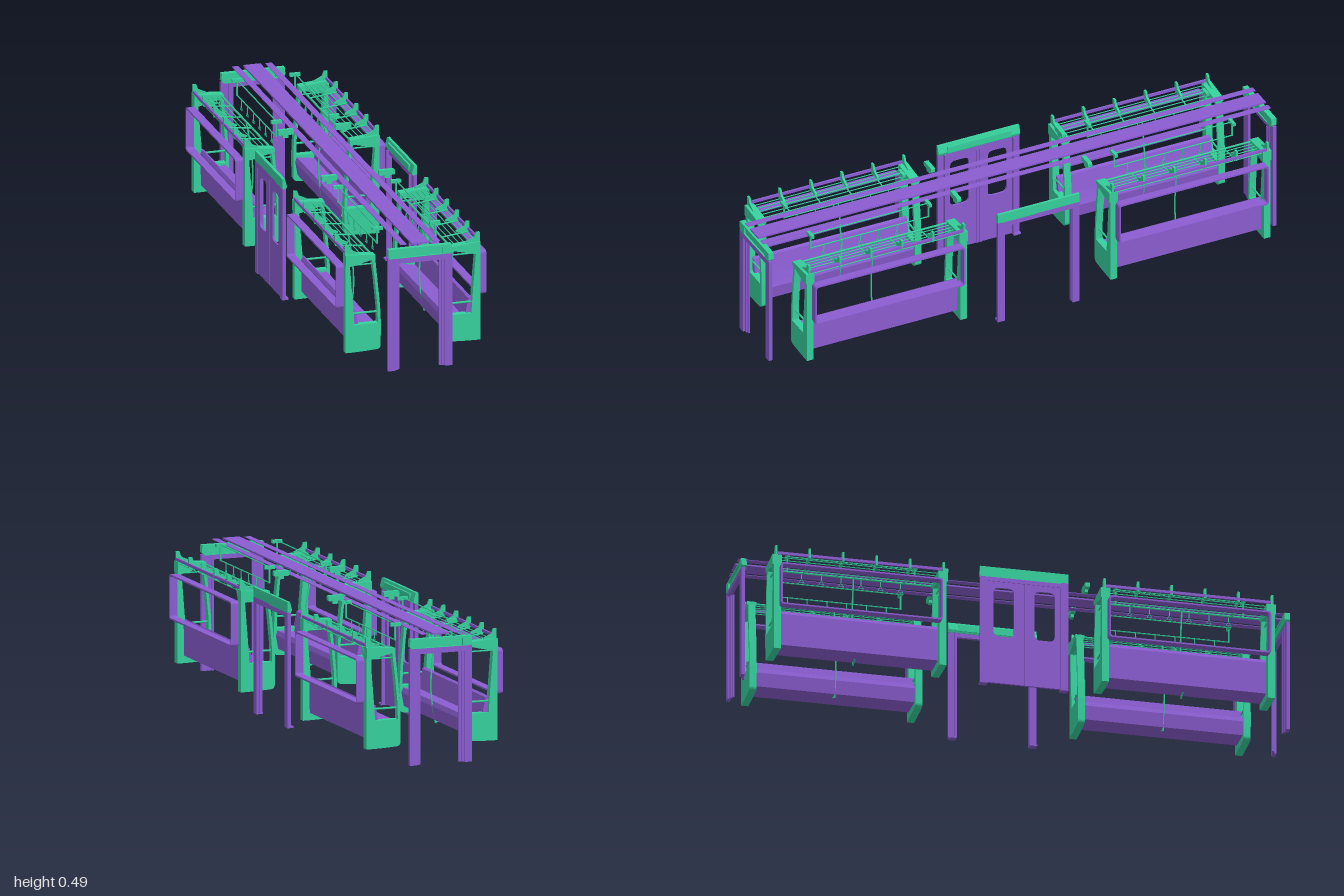
import * as THREE from 'three';

const purple = new THREE.MeshStandardMaterial({ color: 0x8a5cd0, side: THREE.DoubleSide });
const green = new THREE.MeshStandardMaterial({ color: 0x36cf9c, side: THREE.DoubleSide });

function add(parent, name, geo, mat, x = 0, y = 0, z = 0) {
  const m = new THREE.Mesh(geo, mat);
  m.name = name;
  m.position.set(x, y, z);
  parent.add(m);
  return m;
}

// Box given by its min and max corners
function box(parent, name, mat, x0, x1, y0, y1, z0, z1) {
  return add(parent, name, new THREE.BoxGeometry(x1 - x0, y1 - y0, z1 - z0), mat,
    (x0 + x1) / 2, (y0 + y1) / 2, (z0 + z1) / 2);
}

// Round bar through a few points
function bar(parent, name, pts, r, mat = green) {
  const v = pts.map(p => new THREE.Vector3(...p));
  const curve = v.length === 2 ? new THREE.LineCurve3(v[0], v[1]) : new THREE.CatmullRomCurve3(v);
  return add(parent, name, new THREE.TubeGeometry(curve, v.length === 2 ? 1 : 14, r, 6), mat);
}

const poly = pts => new THREE.Shape(pts.map(p => new THREE.Vector2(...p)));

// Outline in x,y extruded from z0 to z1
function slab(parent, name, shape, z0, z1, mat) {
  const geo = new THREE.ExtrudeGeometry(shape, { depth: z1 - z0, bevelEnabled: false, curveSegments: 6 });
  return add(parent, name, geo, mat, 0, 0, z0);
}

function roundRect(x0, x1, y0, y1, r, T = THREE.Shape) {
  const s = new T();
  s.moveTo(x0 + r, y0);
  s.lineTo(x1 - r, y0); s.quadraticCurveTo(x1, y0, x1, y0 + r);
  s.lineTo(x1, y1 - r); s.quadraticCurveTo(x1, y1, x1 - r, y1);
  s.lineTo(x0 + r, y1); s.quadraticCurveTo(x0, y1, x0, y1 - r);
  s.lineTo(x0, y0 + r); s.quadraticCurveTo(x0, y0, x0 + r, y0);
  return s;
}

// Outline in z,y extruded along x
function sideSlab(parent, name, shape, x0, x1, z, mat) {
  const geo = new THREE.ExtrudeGeometry(shape, { depth: x1 - x0, bevelEnabled: false, curveSegments: 6 });
  geo.rotateY(Math.PI / 2);
  return add(parent, name, geo, mat, x0, 0, z);
}

// Screen at each end of a bench: solid foot, open top
function endPanel(parent, z) {
  const s = new THREE.Shape();
  s.moveTo(0.135, 0.057);
  s.quadraticCurveTo(0.19, 0.053, 0.25, 0.053);
  s.lineTo(0.25, 0.418);
  s.quadraticCurveTo(0.245, 0.423, 0.235, 0.421);
  s.lineTo(0.142, 0.412);
  s.lineTo(0.14, 0.398);
  s.quadraticCurveTo(0.13, 0.30, 0.122, 0.22);
  s.lineTo(0.119, 0.155);
  s.lineTo(0.12, 0.07);
  s.quadraticCurveTo(0.122, 0.058, 0.135, 0.057);
  const hole = new THREE.Path([[0.13, 0.155], [0.217, 0.155], [0.222, 0.23], [0.234, 0.378],
    [0.152, 0.396], [0.142, 0.32], [0.132, 0.22]].map(p => new THREE.Vector2(...p)));
  s.holes.push(hole);
  slab(parent, 'benchEndPanel', s, z - 0.013, z + 0.013, green);
  slab(parent, 'benchEndCap', poly([[0.14, 0.398], [0.235, 0.376], [0.25, 0.38], [0.25, 0.42],
    [0.235, 0.421], [0.14, 0.412]]), z - 0.017, z + 0.017, green);
  bar(parent, 'panelRail', [[0.13, 0.195, z], [0.222, 0.195, z]], 0.004);
  bar(parent, 'panelRail', [[0.148, 0.376, z], [0.236, 0.376, z]], 0.003);
}

// Bench, window, rack and hand rail; z runs from -0.315 to 0.315
function bay() {
  const g = new THREE.Group();
  g.name = 'seatingBay';
  slab(g, 'bench', poly([[0.135, 0.08], [0.126, 0.13], [0.132, 0.147], [0.196, 0.138], [0.21, 0.208],
    [0.22, 0.213], [0.226, 0.2], [0.224, 0.08]]), -0.302, 0.302, purple);
  for (const z of [-0.302, 0.302]) endPanel(g, z);

  // Thin deep window surround
  const frame = roundRect(-0.295, 0.295, 0.215, 0.378, 0.012);
  frame.holes.push(roundRect(-0.289, 0.289, 0.221, 0.372, 0.009, THREE.Path));
  sideSlab(g, 'windowSurround', frame, 0.248, 0.279, 0, purple);

  // Luggage rack rods, cross bars and hooks
  for (let i = 0; i < 6; i++) {
    const x = 0.146 + i * 0.019, y = 0.405 + i * 0.0015;
    bar(g, 'rackRod', [[x, y, -0.3], [x, y, 0.3]], i ? 0.002 : 0.004);
  }
  const hook = poly([[0.25, 0.455], [0.237, 0.455], [0.23, 0.436], [0.2, 0.422], [0.2, 0.417], [0.25, 0.417]]);
  for (let i = 0; i < 6; i++) {
    const z = -0.305 + i * 0.122;
    bar(g, 'rackCrossBar', [[0.146, 0.403, z], [0.247, 0.415, z]], 0.003);
    slab(g, 'rackHook', hook, z - 0.004, z + 0.004, green);
  }
  box(g, 'rackWallRail', purple, 0.243, 0.25, 0.422, 0.432, -0.3, 0.3);

  // Bowed grab pole in the middle of the bench
  bar(g, 'grabPole', [[0.14, 0.068, 0], [0.124, 0.16, 0], [0.123, 0.24, 0], [0.133, 0.33, 0], [0.146, 0.403, 0]], 0.003);
  bar(g, 'poleFoot', [[0.14, 0.07, 0], [0.17, 0.082, 0]], 0.003);

  // Hanging rail with straps
  const x = 0.108;
  for (const y of [0.425, 0.482]) bar(g, 'strapRail', [[x, y, -0.232], [x, y, 0.232]], 0.0025);
  for (const z of [-0.232, 0.232]) {
    bar(g, 'railPost', [[x, 0.423, z], [x, 0.478, z]], 0.0035);
    box(g, 'railBracket', green, 0.088, 0.126, 0.474, 0.486, z - 0.006, z + 0.006);
  }
  for (let i = 0; i < 6; i++) {
    const z = -0.18 + i * 0.072;
    bar(g, 'strap', [[x, 0.426, z], [x, 0.402, z]], 0.002);
    const ring = add(g, 'strapHandle', new THREE.TorusGeometry(0.011, 0.0018, 5, 3), green, x, 0.391, z);
    ring.rotation.set(0, Math.PI / 2, 0);
    ring.geometry.rotateZ(Math.PI / 2);
  }
  return g;
}

// Doorway in the side wall
function sideDoorway(withDoors) {
  const g = new THREE.Group();
  g.name = 'sideDoorway';
  for (const s of [-1, 1]) {
    const z = s * 0.147;
    box(g, 'doorJamb', purple, 0.238, 0.25, 0, 0.42, z - 0.014, z + 0.014);
    box(g, 'jambLip', purple, 0.228, 0.24, 0.004, 0.415, s * 0.135 - 0.003, s * 0.135 + 0.003);
    box(g, 'jambFoot', purple, 0.226, 0.25, 0, 0.006, z - 0.014, z + 0.014);
  }
  box(g, 'doorLintel', purple, 0.238, 0.25, 0.4, 0.42, -0.135, 0.135);
  slab(g, 'doorHeader', poly([[0.25, 0.416], [0.236, 0.416], [0.232, 0.426], [0.24, 0.455], [0.25, 0.455]]), -0.161, 0.161, green);
  box(g, 'headerPanel', green, 0.231, 0.238, 0.422, 0.446, -0.125, 0.125);
  if (withDoors) for (const s of [-1, 1]) {
    const leaf = roundRect(-0.066, 0.066, 0.004, 0.405, 0.002);
    const o = -s * 0.008;
    const hole = roundRect(o - 0.037, o + 0.037, 0.187, 0.377, 0.02, THREE.Path);
    leaf.holes.push(hole);
    sideSlab(g, 'doorLeaf', leaf, 0.24, 0.248, s * 0.0665, purple);
    box(g, 'doorEdge', purple, 0.237, 0.24, 0.004, 0.4, s * 0.006 - 0.004, s * 0.006 + 0.004);
  }
  return g;
}

// Portal at the end of the aisle, facing +z
function endPortal() {
  const g = new THREE.Group();
  g.name = 'endPortal';
  for (const s of [-1, 1]) {
    const strip = (name, a, b, y1, z0, z1) =>
      box(g, name, purple, Math.min(s * a, s * b), Math.max(s * a, s * b), 0, y1, z0, z1);
    strip('portalJamb', 0.092, 0.119, 0.42, 0.986, 1);
    strip('portalInnerJamb', 0.081, 0.092, 0.4, 0.983, 0.992);
    strip('portalStop', 0.073, 0.081, 0.4, 0.98, 0.986);
  }
  box(g, 'portalLintel', purple, -0.092, 0.092, 0.4, 0.42, 0.984, 1);
  const head = poly([[-0.119, 0.428], [-0.108, 0.417], [0.108, 0.417], [0.119, 0.428],
    [0.117, 0.455], [-0.117, 0.455]]);
  head.holes.push(roundRect(-0.083, 0.083, 0.421, 0.447, 0.002, THREE.Path));
  slab(g, 'portalHeader', head, 0.98, 1, green);
  box(g, 'portalHeaderPanel', green, -0.083, 0.083, 0.421, 0.447, 0.983, 0.994);
  return g;
}

export function createModel() {
  const model = new THREE.Group();
  model.name = 'carriageInterior';

  // Ceiling strips
  box(model, 'ceilingStrip', purple, -0.032, 0.032, 0.467, 0.473, -1, 1);
  for (const s of [-1, 1]) box(model, 'ceilingSideStrip', purple, s * 0.062 - 0.012, s * 0.062 + 0.012, 0.4695, 0.4715, -1, 1);

  // Each half is the other turned half way round
  for (const turn of [0, Math.PI]) {
    const half = new THREE.Group();
    half.name = turn ? 'rightHalf' : 'leftHalf';
    half.rotation.y = turn;
    for (const z of [-0.598, 0.598]) {
      const b = bay();
      b.position.z = z;
      half.add(b);
    }
    half.add(sideDoorway(turn !== 0), endPortal());
    // Grab handles beside the doors
    for (const z of [-0.258, 0.258]) {
      add(half, 'ceilingHandle', new THREE.ExtrudeGeometry(roundRect(0.077, 0.136, 0.468, 0.488, 0.006),
        { depth: 0.016, bevelEnabled: false, curveSegments: 4 }), green, 0, 0, z - 0.008);
      box(half, 'handleStem', green, 0.097, 0.118, 0.457, 0.469, z - 0.006, z + 0.006);
    }
    model.add(half);
  }
  return model;
}
